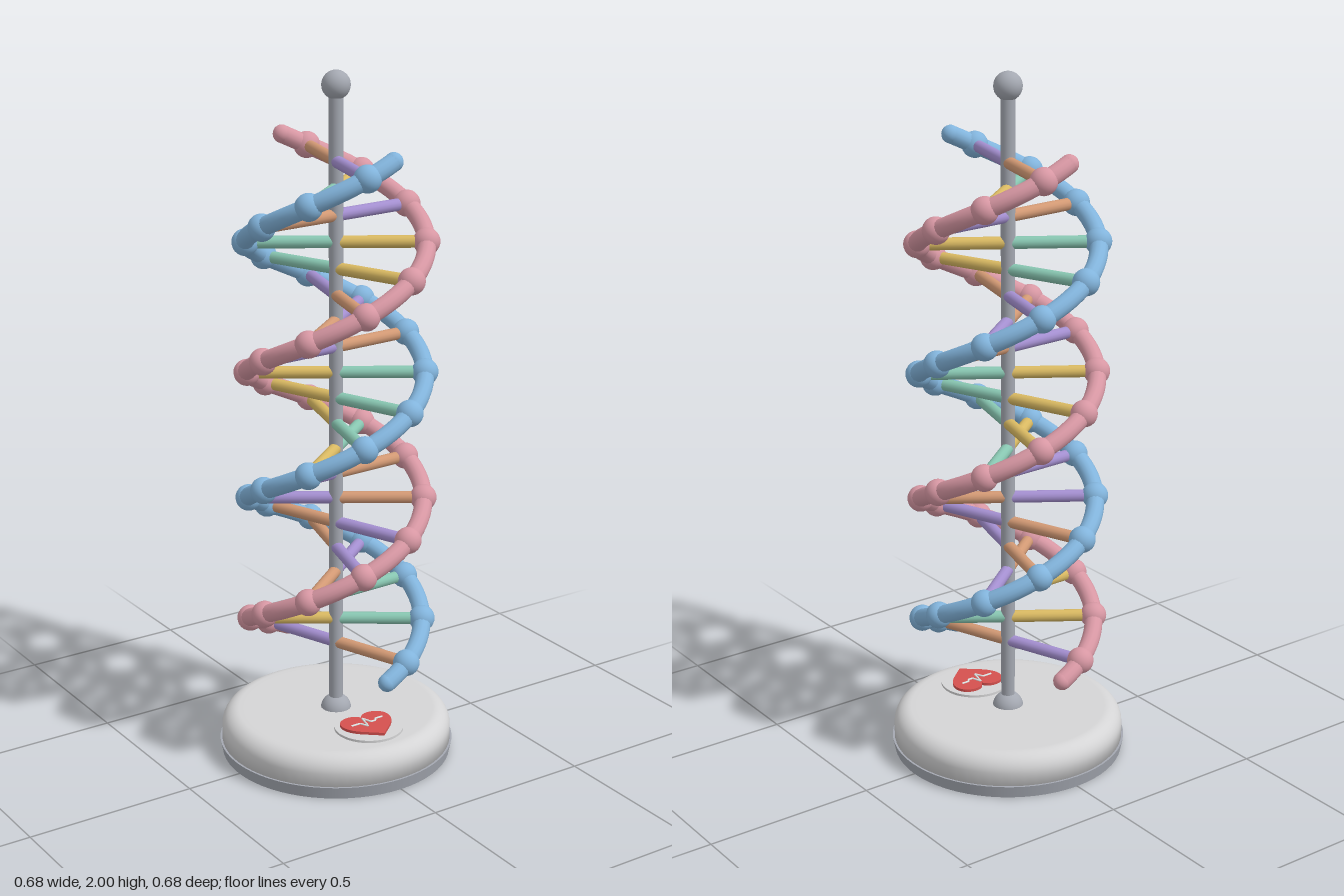
import * as THREE from 'three';

const RADIUS = 0.249, Y0 = 0.296, Y1 = 1.79, RUNGS = 20;

function material(name, color) {
  const m = new THREE.MeshStandardMaterial({ color });
  m.name = name;
  return m;
}

// Helix of two full turns, with a phase offset for the second strand
class Helix extends THREE.Curve {
  constructor(phase) {
    super();
    this.phase = phase;
  }
  getPoint(t, target = new THREE.Vector3()) {
    const a = 0.035 + this.phase + t * Math.PI * 4.01;
    return target.set(RADIUS * Math.sin(a), Y0 + (Y1 - Y0) * t, RADIUS * Math.cos(a));
  }
}

export function createModel() {
  const model = new THREE.Group();
  const mats = {
    blue: material('strand blue', 0x82b4dc),
    pink: material('strand pink', 0xd797a3),
    T: material('teal', 0x88c6b1),
    Y: material('yellow', 0xd9b962),
    P: material('purple', 0xa48fd0),
    O: material('orange', 0xd29974),
    red: material('red', 0xd4504e),
    body: material('light grey', 0xd4d4d5),
    steel: material('steel grey', 0xa4a8b1),
    white: material('pale line', 0xe8eeee),
  };
  const pairOf = { T: 'Y', Y: 'T', P: 'O', O: 'P' };

  function add(name, geometry, mat, parent = model, x = 0, y = 0, z = 0) {
    const mesh = new THREE.Mesh(geometry, mat);
    mesh.name = name;
    mesh.position.set(x, y, z);
    parent.add(mesh);
    return mesh;
  }

  // Round base with a softly rounded top edge
  const profile = [new THREE.Vector2(0.0, 0.02), new THREE.Vector2(0.336, 0.02)];
  for (let i = 0; i <= 10; i++) {
    const a = (i / 10) * Math.PI / 2;
    profile.push(new THREE.Vector2(0.286 + 0.05 * Math.cos(a), 0.076 + 0.05 * Math.sin(a)));
  }
  profile.push(new THREE.Vector2(0.27, 0.126), new THREE.Vector2(0, 0.126));
  add('base', new THREE.LatheGeometry(profile, 64), mats.body);
  add('baseFoot', new THREE.CylinderGeometry(0.342, 0.335, 0.036, 64), mats.steel, model, 0, 0.018, 0);

  // Central pole, collar and finial
  add('pole', new THREE.CylinderGeometry(0.02, 0.02, 1.84, 24), mats.steel, model, 0, 1.04, 0);
  add('collar', new THREE.SphereGeometry(0.045, 24, 16), mats.steel, model, 0, 0.12, 0);
  add('finial', new THREE.SphereGeometry(0.04, 24, 16), mats.steel, model, 0, 1.96, 0);

  // Two strands with beads and rounded ends
  const strands = [['blue', new Helix(0)], ['pink', new Helix(Math.PI)]].map(([key, curve]) => {
    const group = new THREE.Group();
    group.name = key + 'Strand';
    model.add(group);
    add('strandTube', new THREE.TubeGeometry(curve, 200, 0.026, 14), mats[key], group);
    for (const t of [0, 1]) {
      add('strandEnd', new THREE.SphereGeometry(0.026, 16, 12), mats[key], group).position.copy(curve.getPoint(t));
    }
    for (let i = 0; i < RUNGS; i++) {
      const p = curve.getPoint((i + 0.5) / RUNGS);
      add('bead', new THREE.SphereGeometry(0.038, 20, 14), mats[key], group).position.copy(p);
    }
    return curve;
  });

  // Rungs: each half runs from the pole to one strand, in paired colours
  const rungs = new THREE.Group();
  rungs.name = 'rungs';
  model.add(rungs);
  const up = new THREE.Vector3(0, 1, 0);
  [...'OTTPOOPPYTTTOPPTTOTP'].forEach((key, i) => {
    strands.forEach((curve, s) => {
      const p = curve.getPoint((i + 0.5) / RUNGS);
      const half = add('rungHalf', new THREE.CylinderGeometry(0.0175, 0.0175, RADIUS, 14),
        mats[s ? pairOf[key] : key], rungs, p.x / 2, p.y, p.z / 2);
      half.quaternion.setFromUnitVectors(up, new THREE.Vector3(p.x, 0, p.z).normalize());
    });
  });

  // Badge on the base: disc, heart and pulse line
  const badge = new THREE.Group();
  badge.name = 'badge';
  badge.position.set(0, 0.126, 0.17);
  model.add(badge);
  add('badgeDisc', new THREE.CylinderGeometry(0.1, 0.1, 0.008, 48), mats.body, badge, 0, 0.003, 0);

  const heart = new THREE.Shape();
  heart.moveTo(0, 0.038);
  heart.bezierCurveTo(0.012, 0.064, 0.05, 0.064, 0.068, 0.046);
  heart.bezierCurveTo(0.09, 0.02, 0.078, -0.012, 0.05, -0.038);
  heart.lineTo(0, -0.08);
  heart.lineTo(-0.05, -0.038);
  heart.bezierCurveTo(-0.078, -0.012, -0.09, 0.02, -0.068, 0.046);
  heart.bezierCurveTo(-0.05, 0.064, -0.012, 0.064, 0, 0.038);
  const heartGeo = new THREE.ExtrudeGeometry(heart, { depth: 0.008, bevelEnabled: false, curveSegments: 12 });
  heartGeo.rotateX(-Math.PI / 2);
  add('heart', heartGeo, mats.red, badge, 0, 0.007, 0);

  const pulse = new THREE.CurvePath();
  const pts = [[-0.056, -0.006], [-0.026, -0.006], [-0.014, 0.02], [-0.002, -0.03], [0.008, 0.0], [0.024, 0.0], [0.03, -0.01], [0.054, -0.01]]
    .map(([x, z]) => new THREE.Vector3(x, 0.016, z));
  for (let i = 1; i < pts.length; i++) pulse.add(new THREE.LineCurve3(pts[i - 1], pts[i]));
  add('pulseLine', new THREE.TubeGeometry(pulse, 80, 0.003, 6), mats.white, badge);

  return model;
}
